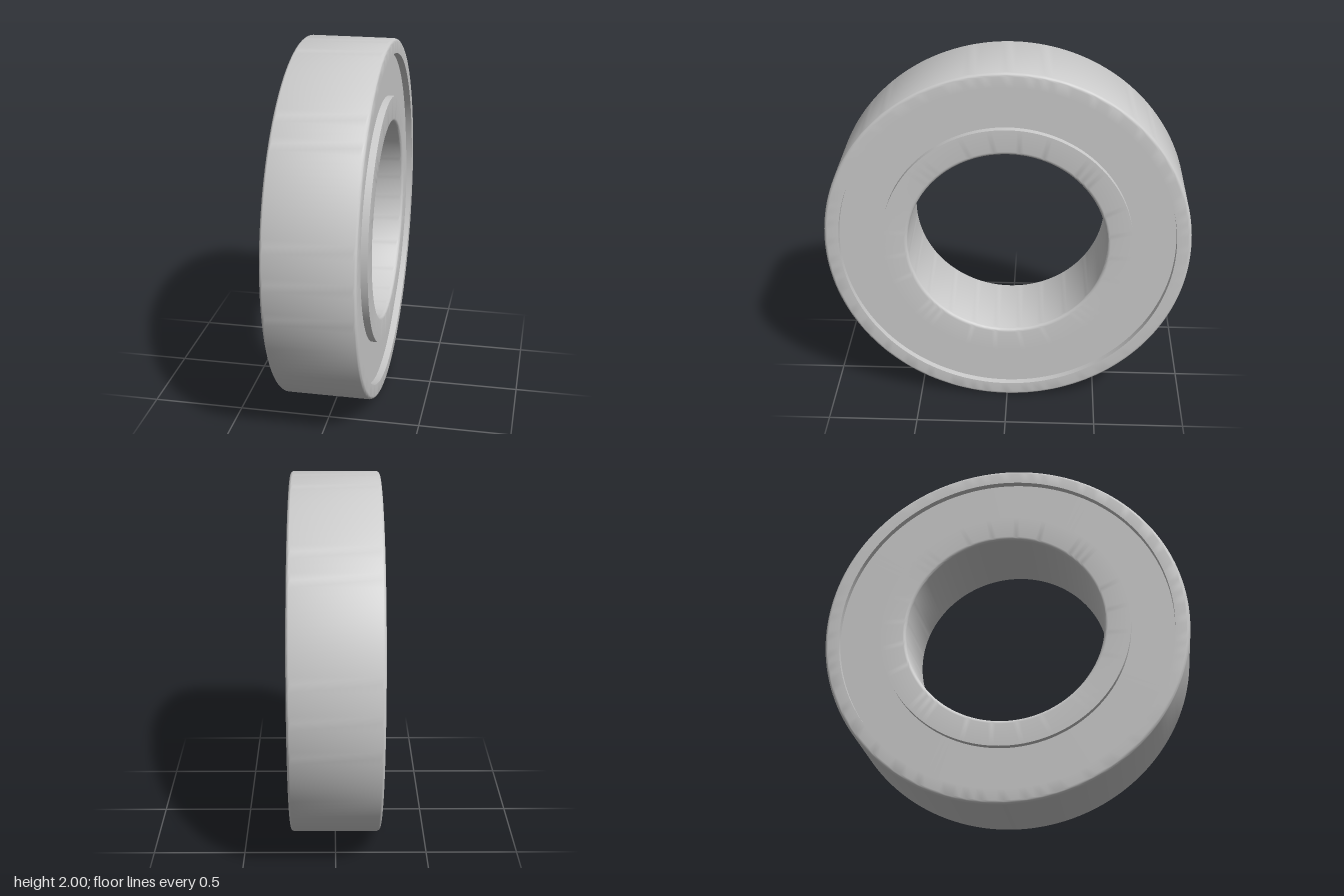
import * as THREE from 'three';
import { toCreasedNormals } from 'three/addons/utils/BufferGeometryUtils.js';

const HALF_WIDTH = 0.243;
const OUTER_R = 1, OUTER_LIP_R = 0.92;   // outer ring
const INNER_LIP_R = 0.686, BORE_R = 0.543; // inner ring
const RECESS = 0.037, SEAL_THICKNESS = 0.03;
const FILLET = 0.02;

const material = new THREE.MeshStandardMaterial({ color: 0xcccccc });

// Quarter-round corner in the (radius, axis) plane
function corner(cx, cy, startAngle) {
  return Array.from({ length: 6 }, (_, i) => {
    const a = startAngle + (i / 5) * Math.PI / 2;
    return new THREE.Vector2(cx + FILLET * Math.cos(a), cy + FILLET * Math.sin(a));
  });
}

// Revolves a closed counter-clockwise profile around the x axis
function revolve(name, points) {
  const lathe = new THREE.LatheGeometry([...points, points[0].clone()], 160);
  lathe.rotateZ(-Math.PI / 2);
  const mesh = new THREE.Mesh(toCreasedNormals(lathe, 0.6), material);
  mesh.name = name;
  return mesh;
}

export function createModel() {
  const bearing = new THREE.Group();
  bearing.name = 'ballBearing';
  const w = HALF_WIDTH, f = FILLET;
  const p = (r, y) => new THREE.Vector2(r, y);

  // Outer ring, rounded on its outside edges
  bearing.add(revolve('outerRing', [
    p(OUTER_LIP_R, -w),
    ...corner(OUTER_R - f, -w + f, -Math.PI / 2),
    ...corner(OUTER_R - f, w - f, 0),
    p(OUTER_LIP_R, w),
  ]));

  // Inner ring, rounded on its bore edges
  bearing.add(revolve('innerRing', [
    p(INNER_LIP_R, -w),
    p(INNER_LIP_R, w),
    ...corner(BORE_R + f, w - f, Math.PI / 2),
    ...corner(BORE_R + f, -w + f, Math.PI),
  ]));

  // Recessed seals closing the gap on both faces
  for (const [name, side] of [['leftSeal', 1], ['rightSeal', -1]]) {
    const mid = side * (w - RECESS - SEAL_THICKNESS / 2);
    const lo = mid - SEAL_THICKNESS / 2, hi = mid + SEAL_THICKNESS / 2;
    bearing.add(revolve(name, [
      p(INNER_LIP_R, lo), p(OUTER_LIP_R, lo), p(OUTER_LIP_R, hi), p(INNER_LIP_R, hi),
    ]));
  }

  bearing.position.y = OUTER_R;
  const model = new THREE.Group();
  model.name = 'model';
  model.add(bearing);
  return model;
}
